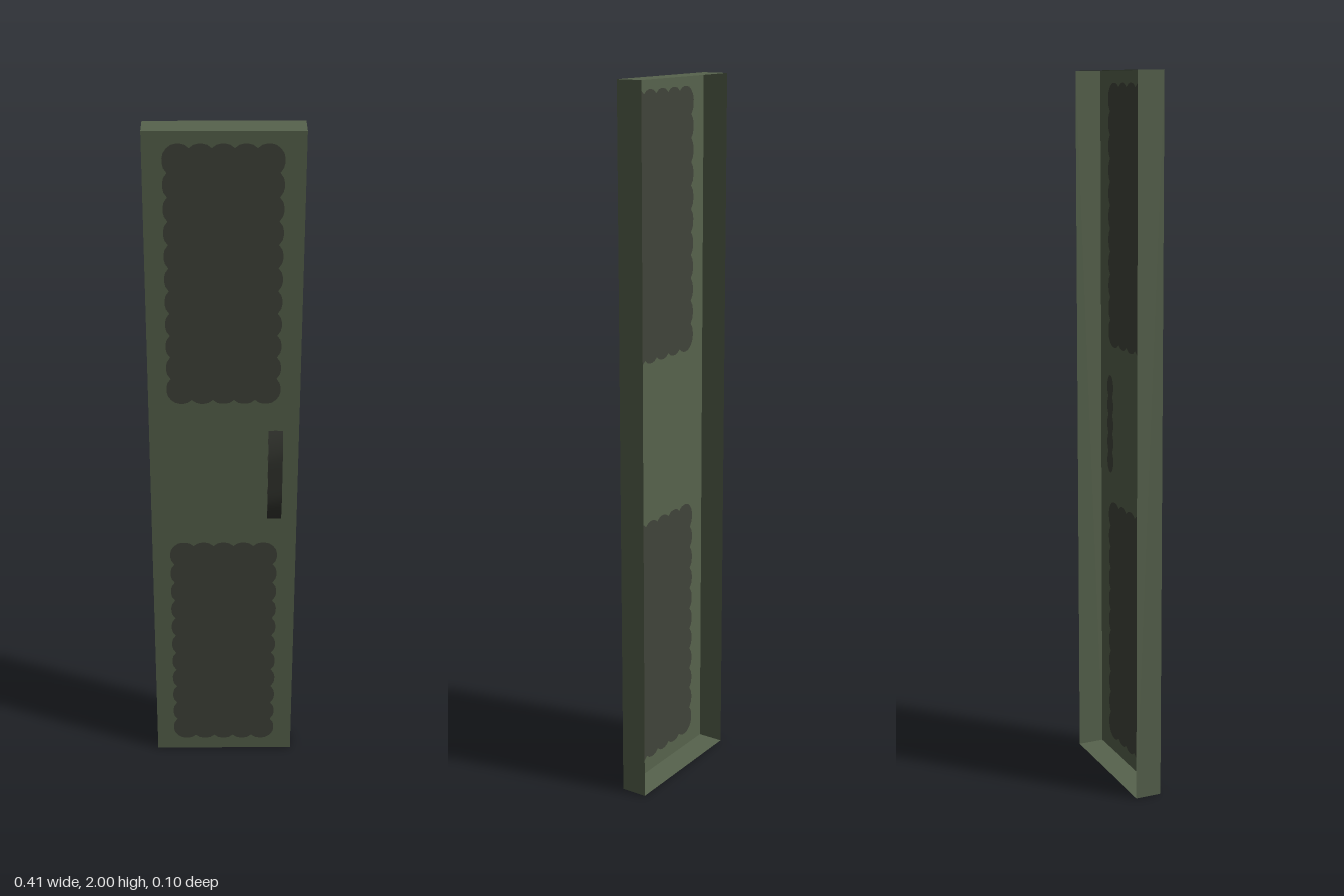
import * as THREE from 'three';

const W = 0.412, H = 2, FRONT = 0.025, BACK = -0.05;

// Closed outline of a rectangle whose edges are made of shallow lobes
function scalloped(x0, x1, y0, y1, nx, ny, depth) {
  const pts = [];
  const steps = 5;
  const edge = (ax, ay, bx, by, n, inX, inY) => {
    for (let i = 0; i < n * steps; i++) {
      const t = i / (n * steps);
      const d = depth * (1 - Math.pow(Math.abs(Math.sin(t * n * Math.PI)), 0.6));
      pts.push(new THREE.Vector2(ax + (bx - ax) * t + inX * d, ay + (by - ay) * t + inY * d));
    }
  };
  const c = depth; // small cut at each corner
  edge(x0 + c, y0, x1 - c, y0, nx, 0, 1);
  edge(x1, y0 + c, x1, y1 - c, ny, -1, 0);
  edge(x1 - c, y1, x0 + c, y1, nx, 0, -1);
  edge(x0, y1 - c, x0, y0 + c, ny, 1, 0);
  return pts;
}

export function createModel() {
  const group = new THREE.Group();
  const green = new THREE.MeshStandardMaterial({ name: 'green paint', color: 0x57634d, side: THREE.DoubleSide });
  const dark = new THREE.MeshStandardMaterial({ name: 'dark panel', color: 0x41443a, side: THREE.DoubleSide });
  const black = new THREE.MeshStandardMaterial({ name: 'handle black', color: 0x31332d, side: THREE.DoubleSide });

  const add = (name, geometry, material) => {
    const mesh = new THREE.Mesh(geometry, material);
    mesh.name = name;
    group.add(mesh);
    return mesh;
  };

  // Front sheet with openings filled by the dark inlays
  const inlays = {
    upperPanel: scalloped(-0.156, 0.153, 1.232, 1.968, 5, 11, 0.012),
    lowerPanel: scalloped(-0.156, 0.153, 0.04, 0.776, 5, 11, 0.012),
    handleRecess: scalloped(0.121, 0.163, 0.86, 1.148, 1, 5, 0.008),
  };
  const sheet = new THREE.Shape();
  sheet.moveTo(-W / 2, 0).lineTo(W / 2, 0).lineTo(W / 2, H).lineTo(-W / 2, H).closePath();
  for (const [name, pts] of Object.entries(inlays)) {
    sheet.holes.push(new THREE.Path(pts));
    add(name, new THREE.ShapeGeometry(new THREE.Shape(pts)), dark).position.z = FRONT;
  }
  add('frontSheet', new THREE.ShapeGeometry(sheet), green).position.z = FRONT;

  // Folded edges, leaving the back open
  const depth = FRONT - BACK, mid = (FRONT + BACK) / 2;
  for (const s of [-1, 1]) {
    const side = add(s > 0 ? 'leftEdge' : 'rightEdge', new THREE.PlaneGeometry(depth, H), green);
    side.rotation.y = s * Math.PI / 2;
    side.position.set(s * W / 2, H / 2, mid);
    const end = add(s > 0 ? 'topEdge' : 'bottomEdge', new THREE.PlaneGeometry(W, depth), green);
    end.rotation.x = -s * Math.PI / 2;
    end.position.set(0, s > 0 ? H : 0, mid);
  }

  // Bowed strip handle: a plane bent along its height
  const strip = new THREE.PlaneGeometry(0.04, 0.288, 1, 12);
  const p = strip.attributes.position;
  for (let i = 0; i < p.count; i++) {
    const t = Math.abs(p.getY(i)) / 0.144;
    p.setZ(i, 0.027 + 0.023 * Math.min(1, 1.25 * (1 - t * t)));
  }
  strip.computeVertexNormals();
  add('handle', strip, black).position.set(0.142, 1.004, 0);

  return group;
}
